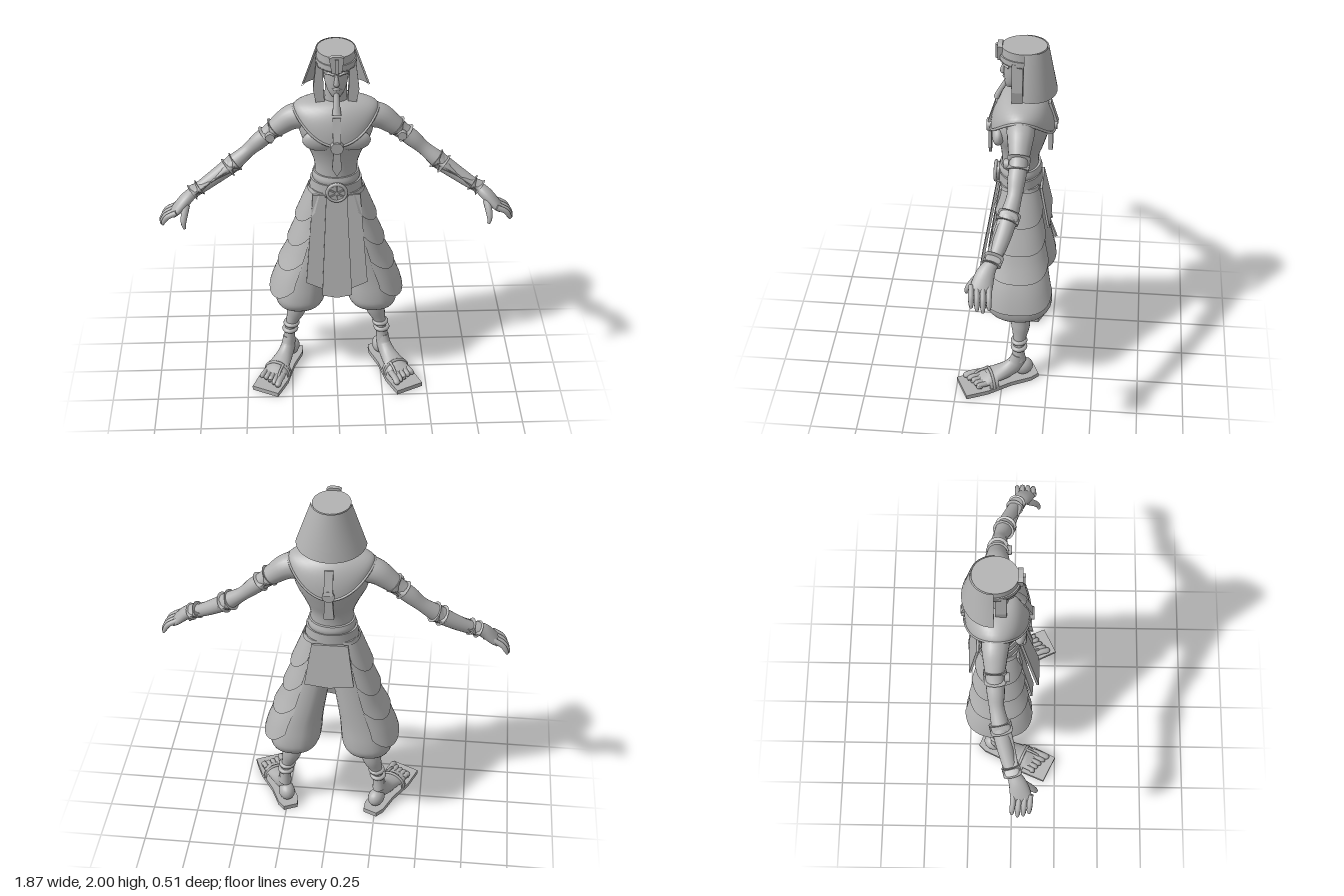
import * as THREE from 'three';

const stone = new THREE.MeshStandardMaterial({ color: 0xb2b2b2, side: THREE.DoubleSide });
stone.name = 'stone grey';
const X = new THREE.Vector3(1, 0, 0), Z = new THREE.Vector3(0, 0, 1);
const lerp = THREE.MathUtils.lerp;

function add(group, name, geo, x = 0, y = 0, z = 0) {
  const m = new THREE.Mesh(geo, stone);
  m.name = name;
  m.position.set(x, y, z);
  group.add(m);
  return m;
}

function makeGeo(pos, idx) {
  const g = new THREE.BufferGeometry();
  g.setAttribute('position', new THREE.Float32BufferAttribute(pos, 3));
  g.setIndex(idx);
  g.computeVertexNormals();
  return g;
}

// Elliptical sections [x, y, z, a, b] swept along a smooth path; flat keeps sections level
function loft(rows, { n = 20, steps = 4, flat = false, ref = Z, power = 1 } = {}) {
  const path = new THREE.CatmullRomCurve3(rows.map(r => new THREE.Vector3(r[0], r[1], r[2])), false, 'catmullrom');
  const size = new THREE.CatmullRomCurve3(rows.map(r => new THREE.Vector3(r[3], r[4], 0)), false, 'catmullrom');
  const pos = [], idx = [], N = (rows.length - 1) * steps;
  const bend = c => Math.sign(c) * Math.abs(c) ** power;
  for (let i = 0; i <= N; i++) {
    const p = path.getPoint(i / N), s = size.getPoint(i / N), t = path.getTangent(i / N);
    if (flat) t.set(0, Math.sign(t.y), 0);
    const u = ref.clone().cross(t).normalize(), w = t.clone().cross(u);
    for (let j = 0; j < n; j++) {
      const q = j / n * Math.PI * 2;
      const v = p.clone().addScaledVector(u, s.x * bend(Math.cos(q))).addScaledVector(w, s.y * bend(Math.sin(q)));
      pos.push(v.x, v.y, v.z);
      if (i < N) {
        const a = i * n + j, b = i * n + (j + 1) % n;
        idx.push(a, b, a + n, b, b + n, a + n);
      }
    }
  }
  for (const end of [0, N]) {
    const base = pos.length / 3, c = path.getPoint(end / N);
    pos.push(...pos.slice(end * n * 3, (end + 1) * n * 3), c.x, c.y, c.z);
    for (let j = 0; j < n; j++) {
      const a = base + j, b = base + (j + 1) % n;
      idx.push(base + n, ...(end ? [a, b] : [b, a]));
    }
  }
  return makeGeo(pos, idx);
}

// Grid surface from a rule f(u, v) -> [x, y, z]
function sheet(f, nu, nv) {
  const pos = [], idx = [];
  for (let i = 0; i <= nu; i++) for (let j = 0; j <= nv; j++) {
    pos.push(...f(i / nu, j / nv));
    if (i < nu && j < nv) {
      const a = i * (nv + 1) + j, b = a + nv + 1;
      idx.push(a, a + 1, b, b, a + 1, b + 1);
    }
  }
  return makeGeo(pos, idx);
}

// Flat outline with thickness
function slab(points, depth) {
  return new THREE.ExtrudeGeometry(new THREE.Shape(points.map(p => new THREE.Vector2(...p))), { depth, bevelEnabled: false });
}
const disc = (r, h) => new THREE.CylinderGeometry(r * 0.9, r, h, 20).rotateX(Math.PI / 2);

// Mirrored copy of a group across x = 0
function mirror(group, name) {
  const out = new THREE.Group();
  out.name = name;
  group.updateMatrixWorld(true);
  group.traverse(m => {
    if (!m.isMesh) return;
    const g = m.geometry.clone().applyMatrix4(m.matrixWorld).scale(-1, 1, 1);
    const src = g.index ? Array.from(g.index.array) : Array.from({ length: g.attributes.position.count }, (_, i) => i);
    for (let i = 0; i < src.length; i += 3) [src[i], src[i + 1]] = [src[i + 1], src[i]];
    g.setIndex(src);
    const nrm = g.attributes.normal;
    for (let i = 0; i < nrm.count; i++) nrm.setXYZ(i, nrm.getX(i), nrm.getY(i), nrm.getZ(i));
    add(out, m.name, g);
  });
  return out;
}

function makeHead() {
  const g = new THREE.Group();
  g.name = 'head';
  add(g, 'neck', loft([[0, 1.62, -.085, .075, .07], [0, 1.7, -.08, .06, .06], [0, 1.8, -.07, .055, .055]], { flat: true }));
  add(g, 'face', loft([[0, 1.755, -.02, .024, .028], [0, 1.785, -.035, .045, .05], [0, 1.83, -.055, .06, .074],
    [0, 1.88, -.065, .066, .084], [0, 1.94, -.07, .07, .09]], { flat: true }));
  add(g, 'nose', loft([[0, 1.885, .012, .008, .008], [0, 1.85, .022, .012, .012], [0, 1.835, .022, .015, .014], [0, 1.828, .015, .01, .008]], { n: 8 }));
  add(g, 'mouth', loft([[-.025, 1.805, .004, .005, .006], [0, 1.807, .016, .008, .008], [.025, 1.805, .004, .005, .006]], { n: 8 }));
  add(g, 'beard', loft([[0, 1.785, 0, .013, .013], [0, 1.73, .032, .017, .013], [0, 1.68, .055, .023, .015]], { n: 8 }));
  for (const s of [-1, 1]) {
    add(g, 'brow', loft([[.012 * s, 1.886, .02, .006, .008], [.035 * s, 1.893, .012, .006, .008], [.056 * s, 1.885, -.01, .005, .006]], { n: 8 }));
    add(g, 'ear', new THREE.SphereGeometry(.026, 12, 8).scale(.5, 1.3, .8), .075 * s, 1.865, -.07);
    add(g, 'lappet', slab([[.068, 1.93], [.1, 1.93], [.117, 1.78], [.1, 1.69], [.058, 1.685], [.064, 1.8]].map(([x, y]) => [x * s, y]), .055), 0, 0, -.085);
  }
  // Headcloth: closed crown with a flared half cone hanging behind
  add(g, 'crown', loft([[0, 1.91, -.085, .1, .117], [0, 1.987, -.085, .096, .113]], { flat: true, n: 32 }));
  add(g, 'headBand', loft([[0, 1.912, -.085, .105, .124], [0, 1.945, -.085, .104, .123]], { flat: true, n: 32 }));
  for (const t of [0, .008]) add(g, 'headcloth', sheet((u, v) => {
    const q = u * Math.PI;
    return [Math.cos(q) * (lerp(.1, .178, v) - t), lerp(1.987, 1.765 - .025 * Math.sin(q), v), -.09 - Math.sin(q) * (lerp(.115, .162, v) - t)];
  }, 28, 4));
  add(g, 'crestPlate', slab([[-.025, 1.91], [.025, 1.91], [.037, 1.99], [.02, 2], [-.02, 2], [-.037, 1.99]], .025), 0, 0, .022);
  add(g, 'crestRidge', new THREE.BoxGeometry(.018, .075, .016), 0, 1.95, .05);
  return g;
}

function makeTorso() {
  const g = new THREE.Group();
  g.name = 'torso';
  add(g, 'body', loft([[0, 1.18, -.07, .12, .1], [0, 1.33, -.068, .112, .096], [0, 1.42, -.075, .14, .115], [0, 1.5, -.075, .18, .138],
    [0, 1.56, -.077, .195, .146], [0, 1.62, -.085, .195, .13], [0, 1.68, -.09, .14, .085], [0, 1.71, -.085, .07, .06]], { flat: true, n: 32 }));
  for (const s of [-1, 1]) add(g, 'chestMuscle', new THREE.SphereGeometry(.09, 20, 14).scale(1, .65, .4), .085 * s, 1.525, .035);
  // Broad collar dipping at front and back
  const rim = a => [.218 * Math.sin(a), 1.665 - .15 * Math.cos(a) ** 2, -.08 + .165 * Math.cos(a)];
  add(g, 'collar', sheet((u, v) => {
    const a = u * Math.PI * 2, o = rim(a), r = Math.sin(v * Math.PI / 2), d = 1 - Math.cos(v * Math.PI / 2);
    return [lerp(.065 * Math.sin(a), o[0], r), lerp(1.715, o[1], d), lerp(-.08 + .06 * Math.cos(a), o[2], r)];
  }, 48, 8));
  const rimPath = Array.from({ length: 40 }, (_, i) => new THREE.Vector3(...rim(i / 40 * Math.PI * 2)));
  add(g, 'collarRim', new THREE.TubeGeometry(new THREE.CatmullRomCurve3(rimPath, true), 80, .007, 6, true));
  // Pendants
  const upper = add(g, 'pendantStrap', new THREE.BoxGeometry(.042, .14, .016), 0, 1.595, .073);
  upper.rotation.x = -.3;
  add(g, 'pendantMedallion', disc(.036, .025), 0, 1.512, .093);
  add(g, 'pendantTip', slab([[-.017, 1.49], [-.025, 1.385], [0, 1.34], [.025, 1.385], [.017, 1.49]], .015), 0, 0, .08);
  const back = add(g, 'backStrap', new THREE.BoxGeometry(.045, .13, .014), 0, 1.61, -.235);
  back.rotation.x = .3;
  add(g, 'backMedallion', disc(.032, .025), 0, 1.54, -.243);
  add(g, 'backTassel', slab([[-.018, 1.52], [-.027, 1.39], [.027, 1.39], [.018, 1.52]], .022), 0, 0, -.235);
  // Belt and buckle
  add(g, 'upperBelt', loft([[0, 1.245, -.07, .122, .108], [0, 1.268, -.07, .127, .113], [0, 1.295, -.07, .12, .106]], { flat: true, n: 32 }));
  add(g, 'lowerBelt', loft([[0, 1.175, -.07, .142, .115], [0, 1.25, -.07, .135, .113]], { flat: true, n: 32 }));
  add(g, 'buckle', disc(.052, .025), 0, 1.222, .052);
  add(g, 'buckleRim', new THREE.TorusGeometry(.05, .009, 8, 28), 0, 1.222, .06);
  for (let i = 0; i < 3; i++) add(g, 'buckleSpoke', new THREE.BoxGeometry(.008, .08, .01).rotateZ(i * Math.PI / 3), 0, 1.222, .066);
  // Apron panels
  const tilt = (pts, z0, slope, d) => slab(pts, d).applyMatrix4(new THREE.Matrix4().set(1, 0, 0, 0, 0, 1, 0, 0, 0, -slope, 1, z0 + 1.19 * slope, 0, 0, 0, 1));
  add(g, 'frontApron', tilt([[-.055, 1.19], [-.08, .62], [0, .605], [.08, .62], [.055, 1.19]], .037, .165, .014));
  for (const s of [-1, 1]) add(g, 'sideApron', tilt([[.045, 1.19], [.125, 1.19], [.165, .68], [.075, .64]].map(([x, y]) => [x * s, y]), .02, .15, .012));
  add(g, 'backApron', tilt([[-.095, 1.19], [-.13, .96], [0, .945], [.13, .96], [.095, 1.19]], -.19, -.19, .012));
  return g;
}

function makeArm() {
  const g = new THREE.Group();
  g.name = 'leftArm';
  add(g, 'arm', loft([[.14, 1.615, -.08, .07, .075], [.22, 1.6, -.085, .066, .068], [.28, 1.56, -.085, .056, .058], [.34, 1.51, -.085, .044, .047],
    [.4, 1.46, -.08, .044, .045], [.46, 1.405, -.075, .036, .038], [.54, 1.34, -.055, .045, .045], [.62, 1.285, -.035, .04, .042],
    [.7, 1.235, -.01, .034, .036], [.765, 1.2, .015, .028, .032]]));
  const cuff = (name, a, b, r, q = r) => add(g, name, loft([[...a, r, r], [...b, q, q]], { steps: 1 }));
  cuff('armBand', [.315, 1.535, -.085], [.365, 1.492, -.083], .059, .055);
  add(g, 'armBandStud', disc(.026, .025), .34, 1.512, -.025);
  cuff('bracer', [.53, 1.347, -.058], [.75, 1.212, .008], .05, .038);
  cuff('bracerElbowRing', [.525, 1.35, -.059], [.565, 1.322, -.047], .057);
  cuff('bracerWristRing', [.715, 1.232, -.003], [.755, 1.208, .01], .047);
  // Hand
  add(g, 'palm', loft([[.75, 1.212, .01, .028, .032], [.79, 1.18, .035, .032, .046], [.835, 1.135, .05, .026, .054], [.86, 1.112, .053, .018, .05]]));
  for (let i = 0; i < 4; i++) {
    const z = .01 + i * .029, l = [.94, 1.05, 1, .88][i];
    add(g, 'finger', loft([[.835, 1.14, z + .003, .015, .014], [.835 + .055 * l, 1.14 - .03 * l, z, .015, .014],
      [.835 + .08 * l, 1.14 - .065 * l, z - .003, .012, .012], [.835 + .088 * l, 1.14 - .085 * l, z - .004, .007, .007]], { n: 8 }));
  }
  add(g, 'thumb', loft([[.785, 1.165, .065, .02, .018], [.795, 1.125, .1, .018, .017], [.8, 1.09, .122, .014, .014], [.795, 1.06, .13, .008, .008]], { n: 8 }));
  return g;
}

function makeLeg() {
  const g = new THREE.Group();
  g.name = 'leftLeg';
  const pants = [[.2, .425, -.075, .05, .06], [.205, .45, -.075, .115, .135], [.2, .5, -.075, .138, .18], [.193, .56, -.075, .14, .182], [.175, .66, -.075, .13, .165],
    [.135, .8, -.075, .112, .145], [.09, 1, -.075, .098, .118], [.06, 1.2, -.07, .075, .1]];
  add(g, 'trouserLeg', loft(pants, { flat: true, n: 28, power: .85 }));
  // Overlapping rounded plates down the outer thigh
  const at = y => {
    let i = 1;
    while (i < pants.length - 1 && pants[i + 1][1] < y) i++;
    const [p, q] = [pants[i], pants[Math.min(i + 1, pants.length - 1)]];
    const k = q === p ? 0 : THREE.MathUtils.clamp((y - p[1]) / (q[1] - p[1]), 0, 1);
    return p.map((v, j) => lerp(v, q[j], k));
  };
  [[1.19, 1.01], [1.07, .86], [.92, .71], [.78, .54]].forEach(([top, low]) => {
    for (const t of [0, .01]) add(g, 'thighPlate', sheet((u, v) => {
      const q = lerp(-1.3, 1.3, u), y = lerp(top, low + .06 * (q / 1.3) ** 4 + .02 * (q / 1.3) ** 2, v);
      const [cx, , cz, rx, rz] = at(y), o = .012 + .022 * v - t;
      return [cx + (rx + o) * Math.cos(q) ** .85, y, cz + (rz + o * .6) * Math.sign(q) * Math.abs(Math.sin(q)) ** .85];
    }, 20, 6));
  });
  // Shin and ankle rings
  add(g, 'shin', loft([[.215, .48, -.085, .055, .052], [.215, .4, -.09, .055, .053], [.228, .34, -.092, .05, .05], [.25, .27, -.088, .032, .034], [.262, .2, -.085, .03, .032], [.268, .13, -.085, .036, .042]]));
  for (const [x, y] of [[.252, .262], [.26, .222]]) add(g, 'ankleRing', new THREE.TorusGeometry(.033, .013, 8, 24).rotateX(Math.PI / 2), x, y, -.087);
  // Foot and sandal, turned outward
  const f = new THREE.Group();
  f.name = 'leftFoot';
  f.position.set(.27, 0, -.08);
  f.rotation.y = .42;
  g.add(f);
  add(f, 'foot', loft([[0, .17, -.005, .036, .032], [0, .11, .01, .05, .038], [0, .077, .06, .046, .045], [0, .062, .13, .034, .058], [0, .05, .2, .022, .066], [0, .045, .235, .013, .062]], { ref: X }));
  add(f, 'heel', new THREE.SphereGeometry(.05, 18, 12).scale(.9, 1, 1.1), 0, .073, -.035);
  for (let i = 0; i < 5; i++) {
    const x = -.054 + i * .027, r = i ? .014 : .018, l = .292 - i * .012;
    add(f, 'toe', loft([[x * .95, .053, .2, r, r], [x, .054, .25, r, r], [x * 1.05, .046, l - .008, r, r], [x * 1.05, .04, l + .004, r * .5, r * .5]], { ref: X, n: 8 }));
  }
  const sole = slab([[-.04, .11], [.04, .11], [.058, .06], [.06, -.06], [.083, -.2], [.08, -.325], [-.078, -.33], [-.083, -.2], [-.06, -.06], [-.058, .06]], .026).rotateX(-Math.PI / 2);
  add(f, 'sandalSole', sole);
  add(f, 'sandalStrap', sheet((u, v) => {
    const q = u * Math.PI;
    return [.074 * Math.cos(q), .022 + .075 * Math.sin(q) ** .8 - .012 * v, .135 + .05 * v];
  }, 20, 2));
  add(f, 'strapRim', new THREE.TorusGeometry(.074, .008, 6, 20, Math.PI), 0, .022, .16);
  add(f, 'toeThong', loft([[-.035, .09, .16, .008, .008], [-.038, .075, .22, .007, .007], [-.04, .03, .26, .007, .007]], { ref: X, n: 8 }));
  return g;
}

export function createModel() {
  const model = new THREE.Group();
  model.name = 'robedGuardian';
  const arm = makeArm(), leg = makeLeg();
  model.add(makeHead(), makeTorso(), arm, mirror(arm, 'rightArm'), leg, mirror(leg, 'rightLeg'));
  return model;
}
